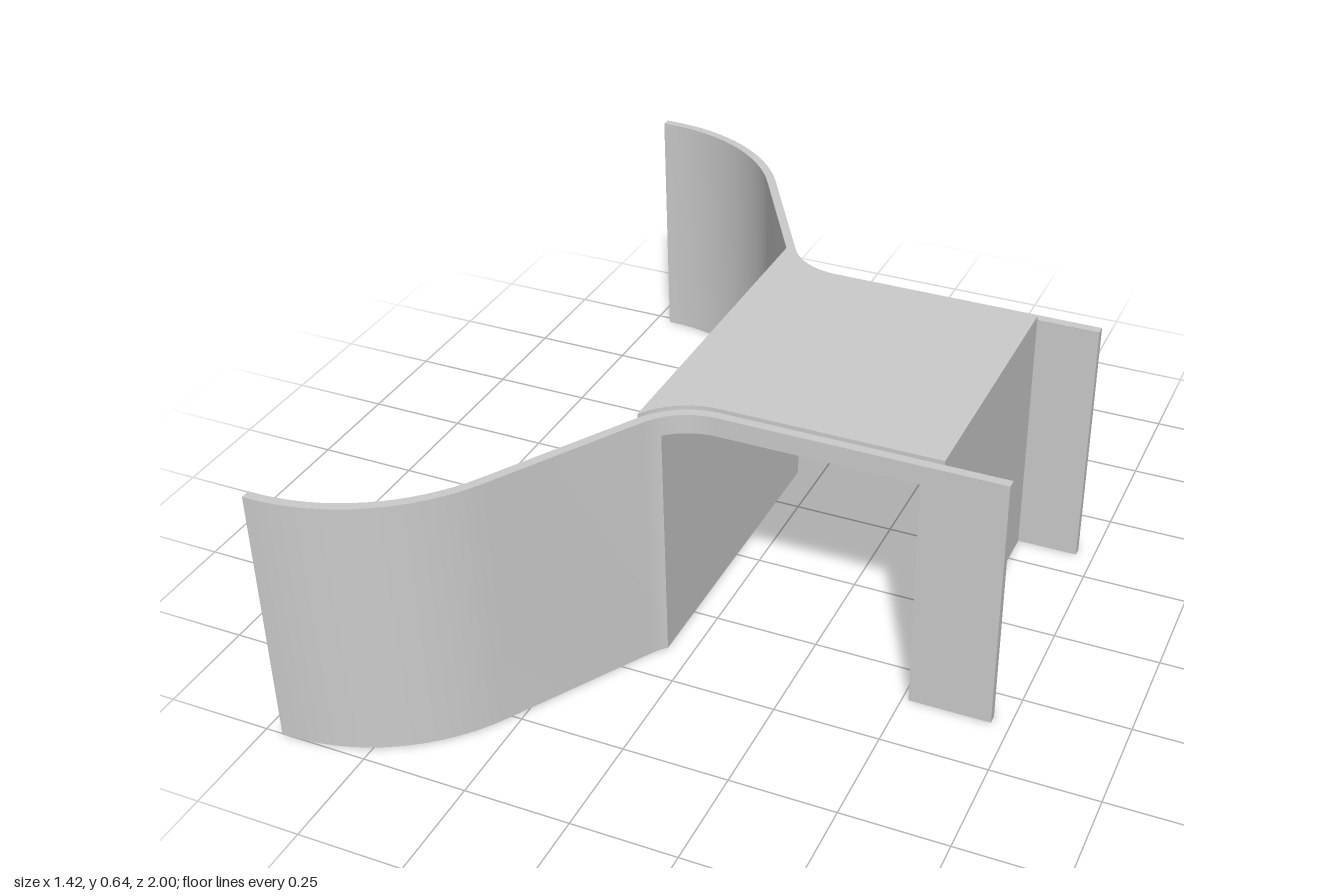
import * as THREE from 'three';
import { toCreasedNormals } from 'three/addons/utils/BufferGeometryUtils.js';

const HALF = 0.011;                 // half the wall thickness
const WALL_TOP = 0.632, DECK_TOP = 0.642, DECK_BOTTOM = 0.585;
const BACK = -0.105, OPEN_A = -0.06, OPEN_B = 0.515, FRONT = 0.56, END = 0.708;

// Plan curve of a wall face: straight tail, tight bend, straight flare, wide bend.
function facePoints(d) {
  const pts = [[-0.708, 0.99 + d]];
  const turn = Math.PI / 3;
  for (let i = 0; i <= 16; i++) {
    const t = (turn * i) / 16;
    pts.push([-0.694 + (0.466 + d) * Math.sin(t), 0.524 + (0.466 + d) * Math.cos(t)]);
  }
  for (let i = 12; i >= 0; i--) {
    const t = (turn * i) / 12;
    pts.push([0.05 - (0.17 - d) * Math.sin(t), 0.511 - (0.17 - d) * Math.cos(t)]);
  }
  pts.push([END, 0.341 + d]);
  return pts;
}

// The part of a face curve between two x values, with interpolated ends.
function faceBetween(d, x0, x1) {
  const pts = facePoints(d);
  const at = (x) => {
    let i = 1;
    while (i < pts.length - 1 && pts[i][0] < x) i++;
    const [a, b] = [pts[i - 1], pts[i]];
    return [x, a[1] + ((b[1] - a[1]) * (x - a[0])) / (b[0] - a[0])];
  };
  const inside = pts.filter((p) => p[0] > x0 + 1e-4 && p[0] < x1 - 1e-4);
  return [at(x0), ...inside, at(x1)];
}

const mirror = (pts) => pts.map(([x, z]) => [x, -z]);

// Raise a plan outline (x, z) into a solid between two heights.
function prism(name, outline, y0, y1, material) {
  const shape = new THREE.Shape(outline.map(([x, z]) => new THREE.Vector2(x, z)));
  const geo = new THREE.ExtrudeGeometry(shape, { depth: y1 - y0, bevelEnabled: false });
  geo.rotateX(Math.PI / 2);
  geo.translate(0, y1, 0);
  const mesh = new THREE.Mesh(toCreasedNormals(geo, 0.35), material);
  mesh.name = name;
  return mesh;
}

export function createModel() {
  const model = new THREE.Group();
  model.name = 'culvert';
  const material = new THREE.MeshStandardMaterial({ color: 0xcccccc });

  // Deck and the two cross walls, fitted between the inner faces of the side walls
  const span = (name, x0, x1, y0, y1) => {
    const edge = faceBetween(-HALF, x0, x1);
    model.add(prism(name, [...edge, ...mirror(edge).reverse()], y0, y1, material));
  };
  span('deck', BACK, FRONT, DECK_BOTTOM, DECK_TOP);
  span('backCrossWall', BACK, OPEN_A, 0, DECK_BOTTOM);
  span('frontCrossWall', OPEN_B, FRONT, 0, DECK_BOTTOM);

  // Side walls: flared wing, lintel over the opening, straight end
  for (const side of ['left', 'right']) {
    const wall = new THREE.Group();
    wall.name = side === 'left' ? 'positiveSideWall' : 'negativeSideWall';
    const piece = (name, x0, x1, y0) => {
      const outline = [...faceBetween(-HALF, x0, x1), ...faceBetween(HALF, x0, x1).reverse()];
      wall.add(prism(name, side === 'left' ? outline : mirror(outline), y0, WALL_TOP, material));
    };
    piece('wingWall', -0.708, OPEN_A, 0);
    piece('lintel', OPEN_A, OPEN_B, DECK_BOTTOM);
    piece('endWall', OPEN_B, END, 0);
    model.add(wall);
  }
  return model;
}
